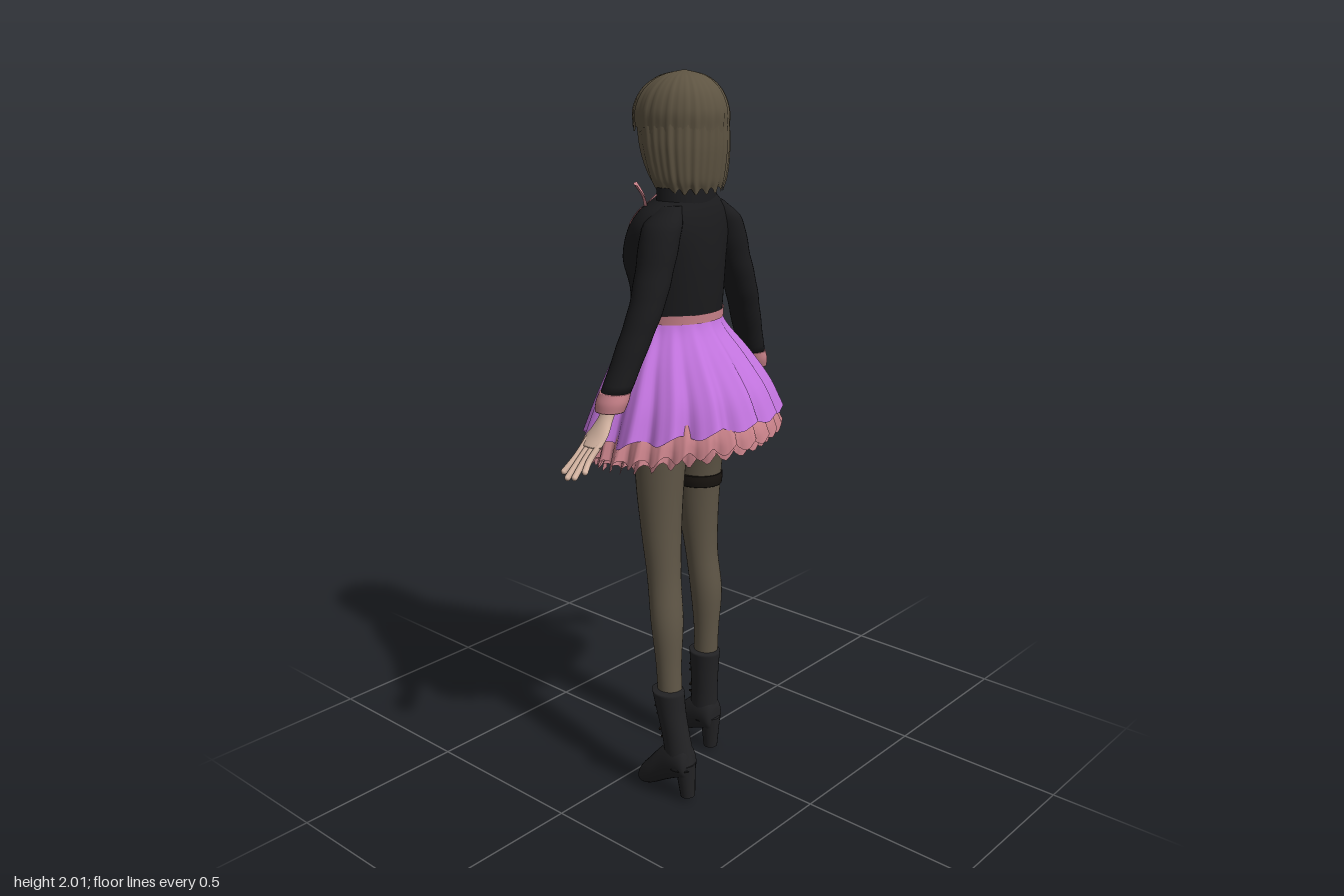
import * as THREE from 'three';

const mat = (name, color, side = THREE.FrontSide) => {
  const m = new THREE.MeshStandardMaterial({ color, side });
  m.name = name;
  return m;
};
const PI = Math.PI;

// Surface through elliptical rings [x, y, z, rx, rz]; range(t) limits the angle, warp bends each point.
function loft(rings, { n = 28, steps = 24, range = null, warp = null, cap = !range } = {}) {
  if (rings[0][1] > rings.at(-1)[1]) rings = [...rings].reverse();
  const mid = new THREE.CatmullRomCurve3(rings.map(r => new THREE.Vector3(r[0], r[1], r[2])), false, 'catmullrom');
  const rad = new THREE.CatmullRomCurve3(rings.map(r => new THREE.Vector3(r[3], r[4], 0)), false, 'catmullrom');
  const pos = [], idx = [], cols = range ? n + 1 : n;
  for (let i = 0; i <= steps; i++) {
    const t = i / steps, c = mid.getPoint(t), r = rad.getPoint(t);
    const [a0, a1] = range ? range(t) : [0, 2 * PI];
    for (let j = 0; j < cols; j++) {
      const a = a0 + (a1 - a0) * j / n;
      const p = new THREE.Vector3(r.x * Math.cos(a), 0, r.y * Math.sin(a));
      if (warp) warp(p, a, t);
      p.add(c);
      pos.push(p.x, p.y, p.z);
    }
  }
  for (let i = 0; i < steps; i++) for (let j = 0; j < n; j++) {
    const a = i * cols + j, b = i * cols + (j + 1) % cols;
    idx.push(a, a + cols, b, b, a + cols, b + cols);
  }
  if (cap) {
    const c0 = pos.length / 3, top = steps * cols;
    pos.push(...mid.getPoint(0).toArray(), ...mid.getPoint(1).toArray());
    for (let j = 0; j < n; j++) {
      const k = (j + 1) % n;
      idx.push(c0, j, k, c0 + 1, top + k, top + j);
    }
  }
  const g = new THREE.BufferGeometry();
  g.setAttribute('position', new THREE.Float32BufferAttribute(pos, 3));
  g.setIndex(idx);
  g.computeVertexNormals();
  return g;
}

const tube = (pts, r, seg = 24) => new THREE.TubeGeometry(
  new THREE.CatmullRomCurve3(pts.map(p => new THREE.Vector3(...p))), seg, r, 8);

export function createModel() {
  const root = new THREE.Group();
  const D = THREE.DoubleSide;
  const skin = mat('skin', 0xdcbba8), hair = mat('hair brown', 0x5e5442, D);
  const black = mat('jacket black', 0x1b1b1d, D), pink = mat('pink', 0xc9828a, D);
  const purple = mat('purple', 0xc274de, D), tights = mat('tights brown', 0x5c5344);
  const leather = mat('boot black', 0x222224), dark = mat('dark detail', 0x17130f), lip = mat('lip', 0xb5606a);
  const add = (name, geo, m, parent = root) => {
    const mesh = new THREE.Mesh(geo, m);
    mesh.name = name;
    parent.add(mesh);
    return mesh;
  };
  const Z = -0.015; // body centre line; the figure looks along -x

  // Head, neck and chest
  const hz = -0.025;
  add('head', loft([[-0.09, 1.722, hz, 0.018, 0.018], [-0.075, 1.735, hz, 0.045, 0.042], [-0.05, 1.775, hz, 0.077, 0.066],
    [-0.036, 1.82, hz, 0.095, 0.08], [-0.03, 1.88, hz, 0.1, 0.085], [-0.02, 1.95, hz, 0.06, 0.05]]), skin);
  add('neck', loft([[0.015, 1.62, -0.02, 0.055, 0.06], [0.005, 1.68, -0.02, 0.04, 0.042], [-0.005, 1.78, hz, 0.04, 0.04]]), skin);
  const nose = add('nose', new THREE.SphereGeometry(0.013, 12, 8), skin);
  nose.position.set(-0.13, 1.799, hz);
  nose.scale.set(1.1, 1.1, 0.7);
  const plate = (name, m, y, a, rx, rad, h, w) => {
    const e = add(name, new THREE.SphereGeometry(1, 14, 8), m);
    e.position.set(-0.036 - rx * Math.cos(a), y, hz + rad * Math.sin(a));
    e.rotation.y = a;
    e.scale.set(0.004, h, w);
  };
  for (const s of [1, -1]) {
    plate('eye', dark, 1.823, s * 0.46, 0.097, 0.082, 0.013, 0.017);
    const ear = add('ear', new THREE.SphereGeometry(0.02, 10, 8), skin);
    ear.position.set(-0.035, 1.81, hz + s * 0.08);
    ear.scale.z = 0.5;
  }
  plate('mouth', lip, 1.768, 0, 0.091, 0.07, 0.004, 0.014);
  add('chest', loft([[-0.02, 1.42, Z, 0.1, 0.115], [-0.027, 1.51, Z, 0.117, 0.125], [-0.015, 1.57, Z, 0.105, 0.13],
    [0.005, 1.62, Z, 0.075, 0.12], [0.012, 1.66, Z, 0.04, 0.06]]), skin);
  const choker = add('choker', new THREE.CylinderGeometry(0.044, 0.045, 0.014, 24), dark);
  choker.position.set(0.003, 1.698, -0.021);

  // Bobbed hair: full crown with fringe, open curtain below
  const strands = (p, a, t) => {
    p.multiplyScalar(1 + 0.012 * Math.sin(34 * a) + 0.008 * Math.sin(21 * a + 2));
    p.y += (1 - t) ** 4 * 0.008 * Math.sin(19 * a);
  };
  add('hairCrown', loft([[-0.012, 1.848, hz, 0.134, 0.123], [-0.012, 1.9, hz, 0.135, 0.121], [-0.009, 1.95, hz, 0.112, 0.1],
    [-0.004, 1.985, hz, 0.066, 0.06], [0, 2, hz, 0.004, 0.004]], { n: 120, warp: strands, cap: false }), hair);
  add('hairCurtain', loft([[0.018, 1.69, hz, 0.085, 0.1], [0.012, 1.725, hz, 0.1, 0.118], [0, 1.8, hz, 0.121, 0.126],
    [-0.01, 1.87, hz, 0.132, 0.121]], { n: 120, warp: strands, range: t => [PI + 1.2 - 0.25 * t, 3 * PI - 1.2 + 0.25 * t] }), hair);

  // Bodice with a heart-shaped neckline
  add('bodice', loft([[-0.018, 1.31, Z, 0.114, 0.125], [-0.018, 1.38, Z, 0.108, 0.12], [-0.024, 1.45, Z, 0.118, 0.128],
    [-0.028, 1.5, Z, 0.126, 0.133], [-0.026, 1.55, Z, 0.116, 0.135]], {
    n: 64, cap: false, warp: (p, a, t) => { p.y -= t ** 4 * 0.055 * Math.exp(-(((a - PI) / 0.3) ** 2)); }
  }), purple);

  // Cropped open jacket with trim, lapels and stand-up collar
  const coat = [[-0.02, 1.345, Z, 0.122, 0.135], [-0.018, 1.42, Z, 0.126, 0.138], [-0.027, 1.5, Z, 0.138, 0.15],
    [-0.013, 1.58, Z, 0.12, 0.16], [0, 1.63, Z - 0.003, 0.098, 0.145], [0.01, 1.665, Z - 0.005, 0.075, 0.105], [0.012, 1.69, Z - 0.005, 0.06, 0.075]];
  const gap = t => 0.42 + 0.35 * t * t;
  add('jacket', loft(coat, { n: 56, steps: 30, range: t => [PI + gap(t), 3 * PI - gap(t)] }), black);
  const grown = (d, list = coat) => list.map(([x, y, z, a, b]) => [x, y, z, a + d, b + d]);
  add('jacketHemTrim', loft([[-0.02, 1.335, Z, 0.126, 0.139], [-0.02, 1.36, Z, 0.127, 0.14]],
    { n: 56, steps: 2, range: () => [PI + 0.42, 3 * PI - 0.42] }), pink);
  for (const s of [1, -1]) {
    const band = (w0, w1) => t => {
      const e = PI + s * (gap(t) - 0.02), f = e + s * (w0 + w1 * Math.max(0, t - 0.45) ** 1.2);
      return s > 0 ? [e, f] : [f, e];
    };
    add('frontTrimAndLapel', loft(grown(0.004), { n: 8, steps: 30, range: band(0.1, 1.1) }), pink);
    add('collarFront', loft([[0, 1.635, Z, 0.09, 0.115], [-0.005, 1.67, Z, 0.093, 0.118], [-0.01, 1.705, Z, 0.108, 0.14]],
      { n: 14, steps: 8, range: () => s > 0 ? [PI + 0.5, PI + 1.3] : [PI - 1.3, PI - 0.5] }), pink);
  }
  add('collarBack', loft([[0.01, 1.655, Z, 0.078, 0.1], [0.01, 1.7, Z, 0.072, 0.1]],
    { n: 24, steps: 4, range: () => [-1.75, 1.75] }), black);

  // Arms: sleeve, cuff, hand with fingers
  for (const s of [1, -1]) {
    const arm = new THREE.Group(), dx = s > 0 ? 0 : -0.018;
    arm.name = s > 0 ? 'leftArm' : 'rightArm';
    root.add(arm);
    const R = (x, y, d, rx, rz) => [x + dx * (1.65 - y) * 2, y, -0.013 + s * d, rx, rz];
    add('sleeve', loft([R(0.04, 1.655, 0.085, 0.03, 0.025), R(0.043, 1.6, 0.127, 0.056, 0.05), R(0.05, 1.5, 0.163, 0.054, 0.049),
      R(0.055, 1.4, 0.203, 0.049, 0.046), R(0.045, 1.3, 0.247, 0.045, 0.043), R(0.03, 1.18, 0.3, 0.041, 0.04)],
    { warp: (p, a, t) => p.multiplyScalar(1 + 0.015 * Math.sin(40 * t)) }), black, arm);
    add('cuff', loft([R(0.026, 1.135, 0.318, 0.041, 0.039), R(0.028, 1.16, 0.31, 0.045, 0.043), R(0.03, 1.185, 0.3, 0.043, 0.042)]), pink, arm);
    add('palm', loft([R(0.025, 1.15, 0.312, 0.022, 0.02), R(0.02, 1.115, 0.328, 0.023, 0.018),
      R(0.013, 1.075, 0.35, 0.034, 0.016), R(0.01, 1.045, 0.372, 0.033, 0.014)]), skin, arm);
    const P = (x, y, d) => R(x, y, d).slice(0, 3);
    for (let i = 0; i < 4; i++) {
      const x = -0.015 + i * 0.017, drop = [0.01, 0, 0.004, 0.02][i], tip = P(x - 0.016 + i * 0.006, 0.972 + drop, 0.447 - drop);
      add('finger', tube([P(x, 1.06, 0.36), P(x - 0.006, 1.015, 0.403), tip], 0.0085, 8), skin, arm);
      add('fingertip', new THREE.SphereGeometry(0.0085, 8, 6), skin, arm).position.set(...tip);
    }
    add('thumb', tube([P(0.008, 1.1, 0.332), P(-0.022, 1.065, 0.35), P(-0.034, 1.03, 0.365)], 0.009, 8), skin, arm);
  }

  // Pleated skirt, lower at the front, over two ruffled petticoats
  const flare = (count, amp, wave, slope) => (p, a, t) => {
    const k = 1 - t;
    p.multiplyScalar(1 + k * (amp * Math.sin(count * a) + 0.025 * Math.sin(5 * a + 1) + amp * 0.35 * Math.sin(2 * count * a + 1)));
    p.y += k * (slope * p.x + wave * Math.cos(count * a));
  };
  add('skirt', loft([[0, 1.025, -0.02, 0.262, 0.295], [0, 1.12, -0.02, 0.227, 0.258], [-0.008, 1.22, -0.018, 0.176, 0.205],
    [-0.015, 1.3, Z, 0.13, 0.15], [-0.018, 1.345, Z, 0.117, 0.13]],
  { n: 196, steps: 18, cap: false, warp: flare(15, 0.055, 0.01, 0.18) }), purple);
  [[0.253, 0.302, 0.972, 26], [0.228, 0.275, 0.952, 31]].forEach(([rx, rz, y, count]) =>
    add('petticoat', loft([[0.005, y, -0.02, rx, rz], [0.003, y + 0.06, -0.02, rx - 0.012, rz - 0.022],
      [0, y + 0.15, -0.02, rx - 0.06, rz - 0.07], [-0.01, 1.23, Z, 0.14, 0.16]],
    { n: 208, steps: 12, cap: false, warp: flare(count, 0.045, 0.013, 0.18) }), pink));

  // Hips and legs in tights
  add('hips', loft([[0.005, 0.93, 0, 0.05, 0.06], [0, 1, 0, 0.092, 0.13], [-0.005, 1.1, Z, 0.1, 0.14], [-0.015, 1.25, Z, 0.09, 0.115]]), tights);
  add('rightLeg', loft([[0.06, 0.27, -0.055, 0.036, 0.034], [0.055, 0.38, -0.063, 0.038, 0.036], [0.045, 0.5, -0.073, 0.048, 0.046],
    [0.022, 0.62, -0.078, 0.05, 0.047], [0.002, 0.75, -0.086, 0.063, 0.056], [-0.008, 0.9, -0.094, 0.077, 0.065], [0, 1.04, -0.085, 0.085, 0.068]]), tights);
  add('leftLeg', loft([[0.148, 0.27, 0.203, 0.036, 0.034], [0.13, 0.38, 0.19, 0.037, 0.036], [0.108, 0.5, 0.172, 0.047, 0.046],
    [0.075, 0.62, 0.147, 0.05, 0.047], [0.045, 0.75, 0.125, 0.06, 0.056], [0.018, 0.9, 0.1, 0.075, 0.064], [0.005, 1.04, 0.07, 0.083, 0.068]]), tights);
  add('garter', loft([[-0.006, 0.828, -0.09, 0.076, 0.067], [-0.008, 0.845, -0.091, 0.079, 0.07], [-0.01, 0.862, -0.092, 0.079, 0.07]]), dark);

  // Heeled ankle boots
  const boot = (name, x, z, lean, pitch) => {
    const b = new THREE.Group();
    b.name = name;
    b.position.set(x, 0, z);
    root.add(b);
    add('shaft', loft([[0, 0.09, 0, 0.044, 0.04], [lean * 0.4, 0.18, 0, 0.042, 0.037], [lean * 0.75, 0.25, 0, 0.044, 0.039],
      [lean, 0.315, 0, 0.049, 0.042]]), leather, b);
    const base = new THREE.Group();
    base.name = 'footAndHeel';
    base.rotation.z = pitch;
    b.add(base);
    const foot = add('foot', loft([[0.1, -0.046, 0, 0.03, 0.02], [0.105, -0.035, 0, 0.053, 0.035], [0.11, 0, 0, 0.06, 0.042],
      [0.085, 0.05, 0, 0.055, 0.044], [0.05, 0.1, 0, 0.043, 0.046], [0.034, 0.13, 0, 0.031, 0.038], [0.024, 0.147, 0, 0.012, 0.018]]), leather, base);
    foot.rotation.z = PI / 2;
    const heel = add('heel', new THREE.CylinderGeometry(0.03, 0.021, 0.1, 16), leather, base);
    heel.position.set(0.025, 0.05, 0);
    for (let i = 0; i < 4; i++) {
      const y = 0.16 + i * 0.035;
      const lace = add('lace', new THREE.BoxGeometry(0.006, 0.005, 0.04), dark, b);
      lace.position.set(lean * (y - 0.09) / 0.22 - 0.043, y, 0);
      lace.rotation.x = i % 2 ? 0.4 : -0.4;
    }
  };
  boot('rightBoot', 0.06, -0.05, 0, 0);
  boot('leftBoot', 0.195, 0.21, -0.05, 0.1);
  return root;
}
